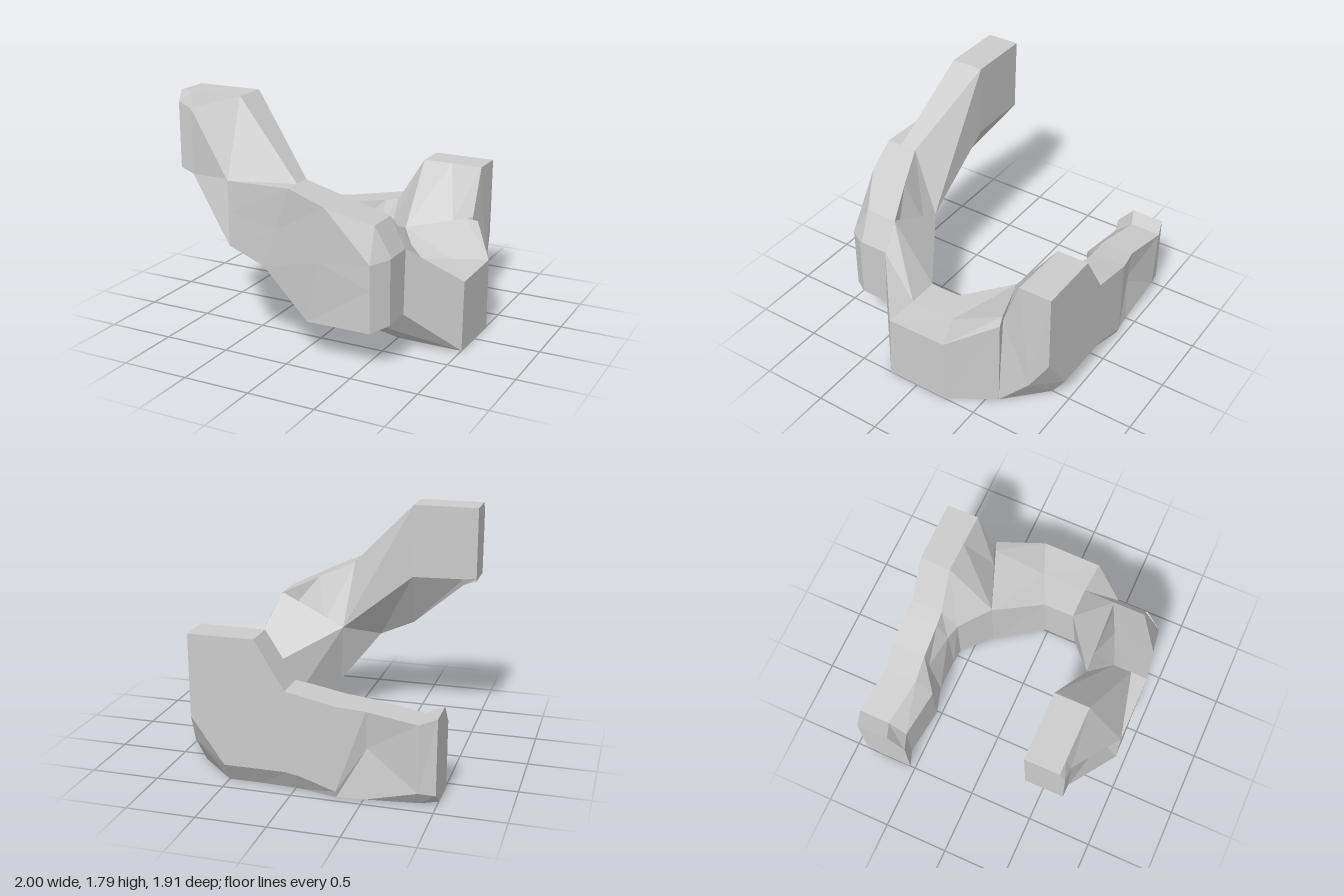
import * as THREE from 'three';

const material = new THREE.MeshStandardMaterial({ color: 0xcccccc, flatShading: true });

// Skins a row of equal-sized cross-sections and closes both ends
function loft(name, rings) {
  const pos = [];
  const tri = (...corners) => corners.forEach((p) => pos.push(...p));
  const n = rings[0].length;
  for (let i = 0; i < rings.length - 1; i++) {
    for (let j = 0; j < n; j++) {
      const k = (j + 1) % n;
      const a = rings[i][j], b = rings[i][k], c = rings[i + 1][k], d = rings[i + 1][j];
      tri(a, d, c);
      tri(a, c, b);
    }
  }
  const first = rings[0], last = rings[rings.length - 1];
  for (let j = 1; j < n - 1; j++) {
    tri(first[0], first[j], first[j + 1]);
    tri(last[0], last[j + 1], last[j]);
  }
  const geometry = new THREE.BufferGeometry();
  geometry.setAttribute('position', new THREE.Float32BufferAttribute(pos, 3));
  geometry.computeVertexNormals();
  const mesh = new THREE.Mesh(geometry, material);
  mesh.name = name;
  return mesh;
}

// Cross-section in a plane of constant x, from [y, z] pairs
const section = (x, ...yz) => yz.map(([y, z]) => [x, y, z]);

export function createModel() {
  const group = new THREE.Group();
  group.name = 'curvedClaw';

  // Bend of the front arm, used twice: once with the notch under the overhang, once without
  const bend = (outerMiddle) => [
    [-0.47, 0.78, 0.95], outerMiddle, [-0.47, 1.25, 0.95],
    [-0.51, 1.79, 0.7], [-0.51, 1.79, 0.45], [-0.51, 1.23, 0.46], [-0.47, 0.79, 0.74],
  ];

  // Rising front arm: outer bottom, middle, top, then top outer, top inner, inner middle, inner bottom
  group.add(loft('frontArm', [
    section(-1, [1.23, 0.74], [1.71, 0.74], [1.71, 0.74], [1.79, 0.7], [1.79, 0.45], [1.25, 0.46], [1.23, 0.46]),
    section(-0.9, [1.19, 0.74], [1.67, 0.74], [1.67, 0.74], [1.79, 0.7], [1.79, 0.45], [1.24, 0.46], [1.19, 0.48]),
    bend([-0.52, 1.22, 0.83]),
    bend([-0.47, 1.02, 0.95]),
    [[-0.2, 0.67, 0.94], [-0.1, 0.95, 0.94], [0.01, 1.26, 0.95], [0.01, 1.26, 0.83], [0.01, 1.26, 0.7], [0.05, 0.77, 0.5], [-0.2, 0.67, 0.74]],
    [[0.1, 0.29, 0.875], [0.2, 0.75, 0.9], [0.26, 1.15, 0.91], [0.26, 1.15, 0.75], [0.28, 1.14, 0.6], [0.2, 0.8, 0.5], [0.1, 0.29, 0.62]],
    [[0.58, 0.29, 0.87], [0.58, 0.6, 0.87], [0.58, 0.78, 0.87], [0.55, 1.02, 0.74], [0.55, 1.02, 0.49], [0.55, 0.8, 0.49], [0.55, 0.3, 0.5]],
    section(0.67, [0.32, 0.74], [0.6, 0.74], [0.8, 0.74], [0.8, 0.72], [0.8, 0.5], [0.6, 0.5], [0.32, 0.5]),
  ]));

  // Side bridge: outer bottom, outer top, crest, inner top, inner bottom
  group.add(loft('sideBridge', [
    [[0.67, 0.32, 0.52], [0.67, 0.8, 0.5], [0.55, 1.02, 0.495], [0.05, 0.77, 0.5], [0.1, 0.29, 0.62]],
    [[1, 0, 0.24], [1, 0.52, 0.22], [0.75, 0.53, 0.2], [0.51, 0.53, 0.2], [0.51, 0, 0.24]],
    [[1, 0, -0.25], [1, 0.53, -0.25], [0.75, 0.53, -0.15], [0.51, 0.53, -0.04], [0.51, 0, -0.02]],
    [[0.79, 0, -0.58], [0.78, 0.7, -0.58], [0.7, 0.72, -0.55], [0.26, 0.63, -0.385], [0.26, 0, -0.385]],
  ]));

  // Back arm with raised block: back bottom, back, top back, top front, front, front bottom
  group.add(loft('backArm', [
    [[0.77, 0.26, -0.82], [0.74, 0.49, -0.96], [0.745, 1.09, -0.96], [0.745, 1.09, -0.71], [0.74, 0.73, -0.58], [0.79, 0, -0.58]],
    [[0.5, 0, -0.86], [0.5, 0.15, -0.96], [0.5, 1.09, -0.96], [0.5, 1.09, -0.715], [0.6, 0.69, -0.52], [0.5, 0, -0.47]],
    section(0.265, [0, -0.86], [0.15, -0.96], [1.09, -0.96], [1.09, -0.72], [0.63, -0.385], [0, -0.385]),
    section(0.05, [0, -0.87], [0.15, -0.96], [0.74, -0.96], [0.74, -0.71], [0.55, -0.59], [0, -0.59]),
    section(-0.06, [0, -0.88], [0.13, -0.96], [0.72, -0.96], [0.72, -0.7], [0.53, -0.62], [0, -0.6]),
    section(-0.31, [0, -0.94], [0.05, -0.96], [0.67, -0.96], [0.67, -0.69], [0.49, -0.665], [0, -0.6]),
    section(-0.51, [0, -0.92], [0.36, -0.88], [0.64, -0.92], [0.64, -0.67], [0.49, -0.54], [0, -0.54]),
    section(-0.88, [0, -0.87], [0.1, -0.94], [0.6, -0.96], [0.6, -0.72], [0.48, -0.585], [0, -0.585]),
    section(-1, [0, -0.81], [0.09, -0.92], [0.64, -0.92], [0.64, -0.67], [0.49, -0.54], [0, -0.54]),
  ]));

  return group;
}
